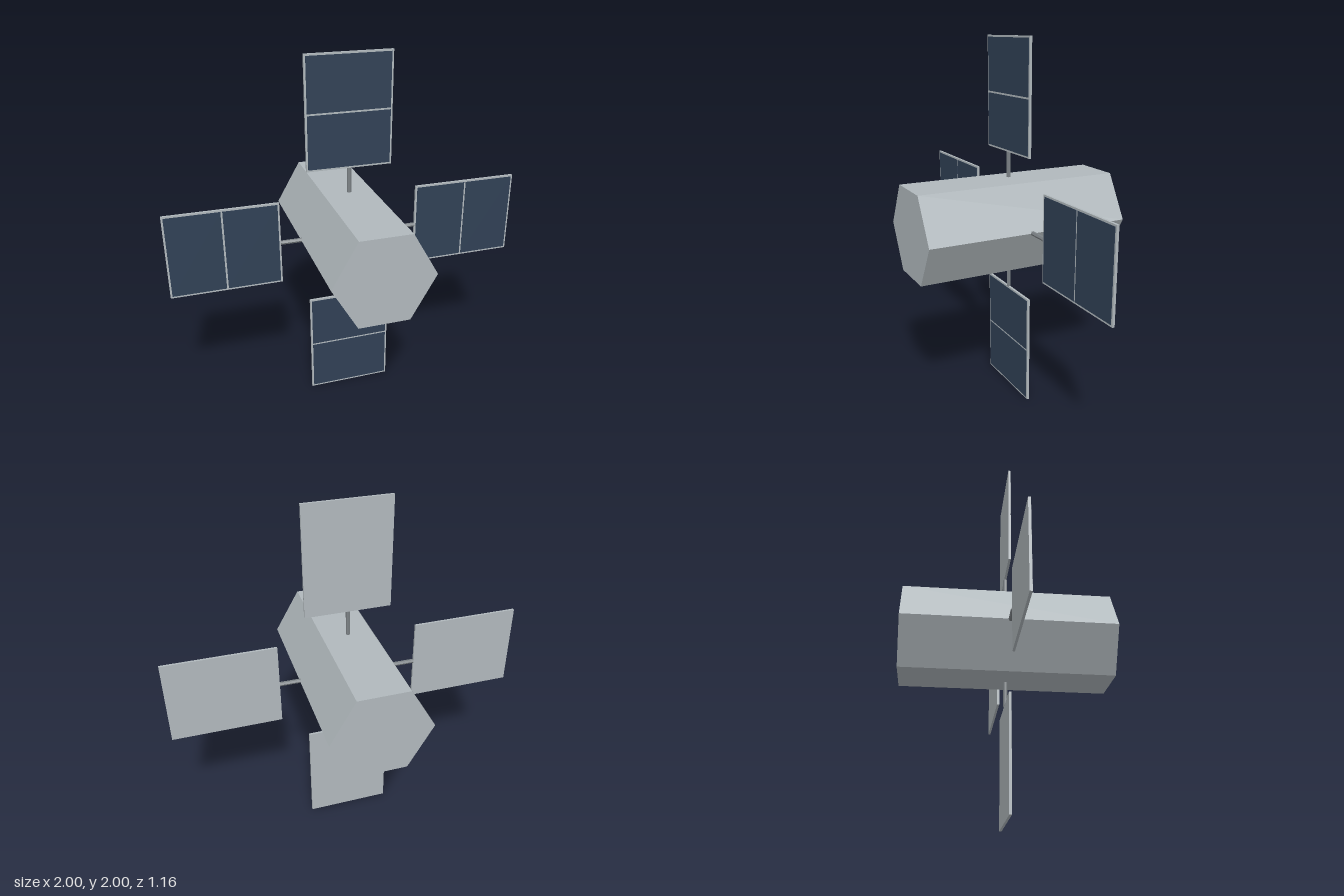
import * as THREE from 'three';

export function createModel() {
  const model = new THREE.Group();
  model.name = 'satellite';

  const hullGrey = new THREE.MeshStandardMaterial({ color: 0xb0b8bc });
  hullGrey.name = 'hull grey';
  const cellBlue = new THREE.MeshStandardMaterial({ color: 0x304055 });
  cellBlue.name = 'solar cell blue';
  const strutGrey = new THREE.MeshStandardMaterial({ color: 0x7c8286 });
  strutGrey.name = 'strut grey';

  const add = (parent, name, geometry, material, x, y, z) => {
    const mesh = new THREE.Mesh(geometry, material);
    mesh.name = name;
    mesh.position.set(x, y, z);
    parent.add(mesh);
    return mesh;
  };
  const faceted = (geometry) => {
    const flat = geometry.toNonIndexed();
    flat.computeVertexNormals();
    return flat;
  };

  // Hexagonal body along z, with corners pointing left and right
  const bodyGeometry = new THREE.CylinderGeometry(0.277, 0.277, 1.16, 6);
  bodyGeometry.rotateY(Math.PI / 2).rotateX(Math.PI / 2);
  add(model, 'body', faceted(bodyGeometry), hullGrey, 0, 1, 0);

  // Shared wing parts, laid out along +x
  const inner = 0.39, outer = 1, halfWidth = 0.237;
  const thickness = 0.013, plate = 0.002, border = 0.01;
  const length = outer - inner;
  const cellLength = (length - 3 * border) / 2;
  const strutStart = 0.25;
  const strutGeometry = faceted(
    new THREE.CylinderGeometry(0.012, 0.012, inner - strutStart, 6).rotateZ(Math.PI / 2));
  const panelGeometry = new THREE.BoxGeometry(length, halfWidth * 2, thickness);
  const cellGeometry = new THREE.BoxGeometry(cellLength, (halfWidth - border) * 2, plate);

  // Four wings turned around the body axis
  ['left', 'top', 'right', 'bottom'].forEach((side, i) => {
    const wing = new THREE.Group();
    wing.name = `${side}Wing`;
    wing.position.y = 1;
    wing.rotation.z = i * Math.PI / 2;
    add(wing, 'strut', strutGeometry, strutGrey, (strutStart + inner) / 2, 0, 0);
    add(wing, 'panel', panelGeometry, hullGrey, (inner + outer) / 2, 0, 0);
    for (const s of [-1, 1]) {
      add(wing, s < 0 ? 'innerSolarCell' : 'outerSolarCell', cellGeometry, cellBlue,
        (inner + outer) / 2 + s * (cellLength + border) / 2, 0, (thickness + plate) / 2);
    }
    model.add(wing);
  });

  return model;
}
